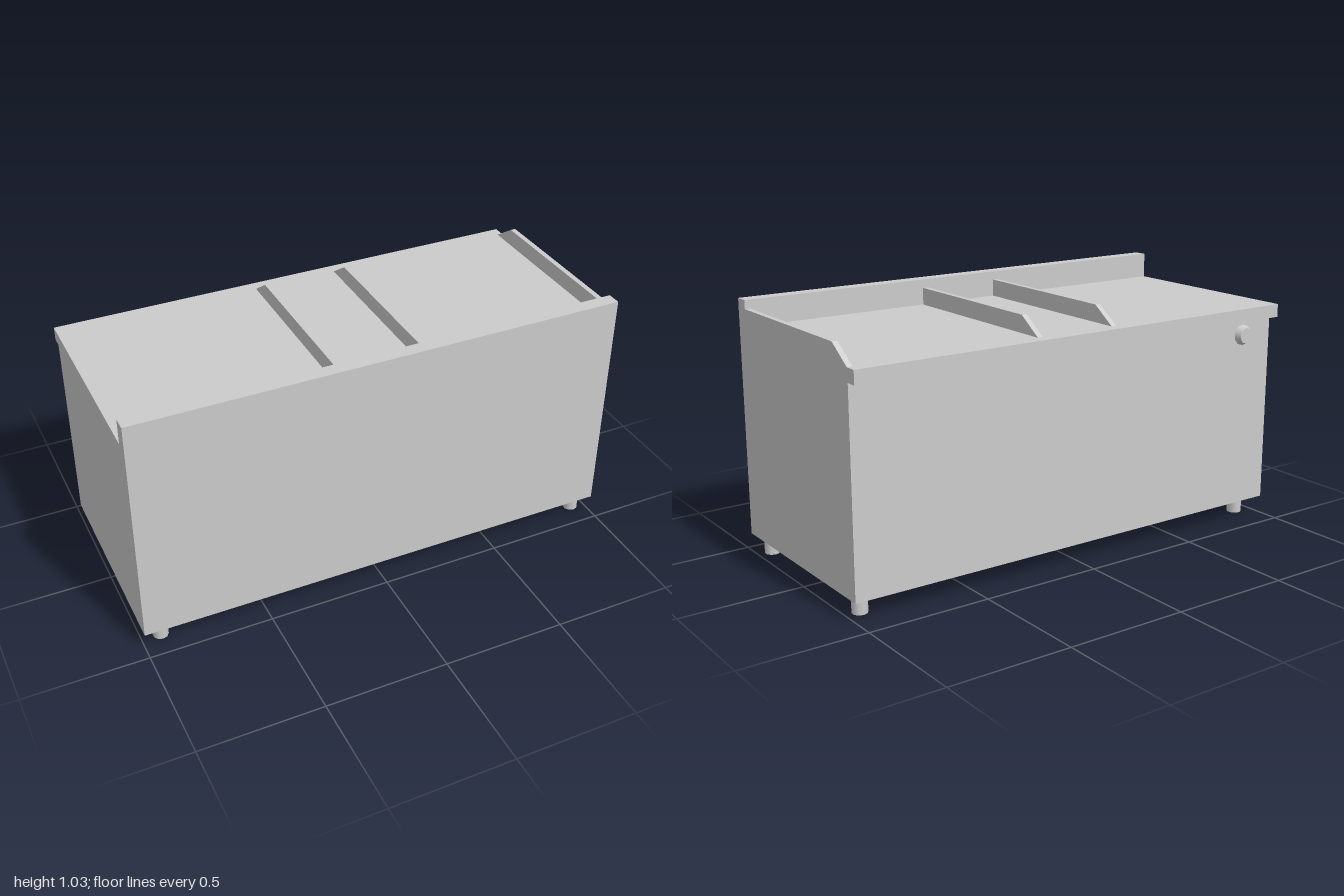
import * as THREE from 'three';

const material = new THREE.MeshStandardMaterial({ color: 0xcccccc });

function add(parent, name, geometry, x = 0, y = 0, z = 0) {
  const mesh = new THREE.Mesh(geometry, material);
  mesh.name = name;
  mesh.position.set(x, y, z);
  parent.add(mesh);
  return mesh;
}

// Extrudes a side profile of [z, y] points across x, centred on x = 0
function sideProfile(points, width) {
  const shape = new THREE.Shape(points.map(([z, y]) => new THREE.Vector2(z, y)));
  const geometry = new THREE.ExtrudeGeometry(shape, { depth: width, bevelEnabled: false });
  return geometry.rotateY(-Math.PI / 2).translate(width / 2, 0, 0);
}

export function createModel() {
  const model = new THREE.Group();
  model.name = 'counter';

  // Cabinet with a sunken worktop, a raised front panel and a lip along the back
  add(model, 'cabinet', sideProfile([
    [-0.408, 0.075], [0.455, 0.075], [0.455, 1.035], [0.398, 1.035],
    [0.398, 0.93], [-0.453, 0.93], [-0.453, 0.876], [-0.408, 0.876],
  ], 2));

  // Dividers on the worktop, sloping down towards the lip
  const divider = sideProfile([[-0.405, 0.93], [0.398, 0.93], [0.398, 1], [-0.303, 1]], 0.022);
  for (const x of [-0.156, 0.195, 0.989]) add(model, 'divider', divider, x);

  // Four short round feet
  const foot = new THREE.CylinderGeometry(0.031, 0.031, 0.076, 10);
  for (const x of [-0.922, 0.941]) {
    for (const z of [-0.328, 0.393]) add(model, 'foot', foot, x, 0.038, z);
  }

  // Tapered control knob under the lip
  const knob = new THREE.CylinderGeometry(0.033, 0.044, 0.026, 10).rotateX(-Math.PI / 2);
  add(model, 'knob', knob, -0.845, 0.811, -0.42);

  return model;
}
